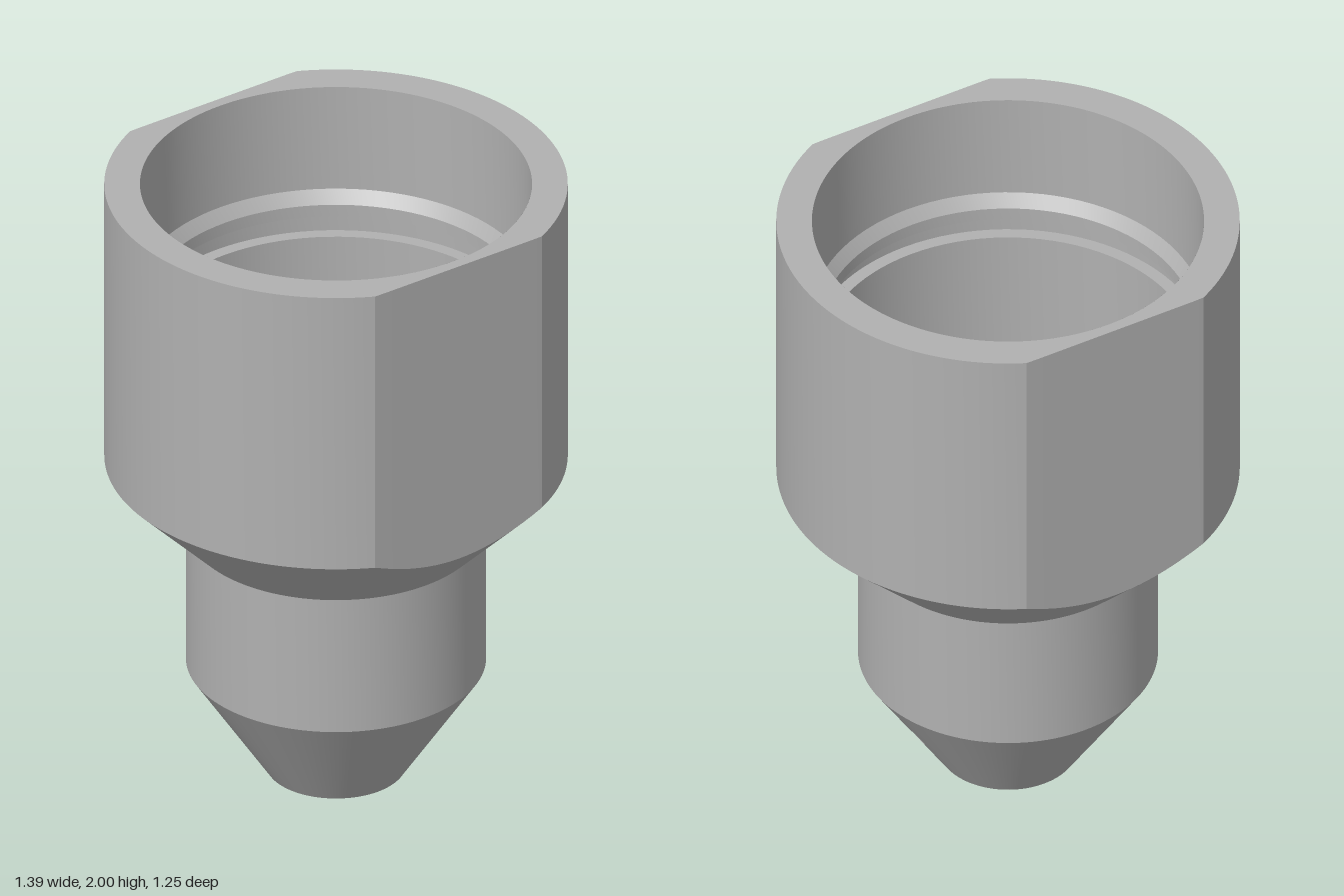
import * as THREE from 'three';
import { toCreasedNormals } from 'three/addons/utils/BufferGeometryUtils.js';

const FLAT = 0.623;                       // distance of the wrench flats from the axis
const HOLE = { y: 0.18, r: 0.042 };       // cross hole in the nose
const PORT_X = 0.185, PORT_R = 0.045, BORE_R = 0.085;
const noseRadius = y => 0.21 + 0.24 * y / 0.365;

export function createModel() {
  const group = new THREE.Group();
  const steel = new THREE.MeshStandardMaterial({ color: 0xb0b0b0, side: THREE.DoubleSide });
  steel.name = 'steel grey';

  const add = (name, geometry) => {
    const mesh = new THREE.Mesh(toCreasedNormals(geometry, 0.35), steel);
    mesh.name = name;
    group.add(mesh);
  };
  const lathe = (pts, segments, start = 0, length = Math.PI * 2) =>
    new THREE.LatheGeometry(pts.map(p => new THREE.Vector2(...p)), segments, start, length);

  // Outer body, pulled in to two flats that run into the shoulder cone
  const body = lathe([[0.45, 0.365], [0.45, 0.82], [0.695, 1.065], [0.695, 2], [0.588, 2]], 136);
  const pos = body.attributes.position;
  for (let i = 0; i < pos.count; i++) {
    const x = pos.getX(i), y = pos.getY(i), z = pos.getZ(i);
    if (Math.abs(z) <= FLAT) continue;
    const k = FLAT / Math.abs(z);
    const r = Math.hypot(x, z) * k;
    pos.setXYZ(i, x * k, y < 1.9 ? 0.82 + r - 0.45 : y, z * k);
  }
  add('body', body);

  // Socket with lead-in chamfer, ring groove, conical seat and recessed floor
  add('socket', lathe([
    [0.588, 2], [0.588, 1.65], [0.56, 1.61], [0.56, 1.57], [0.6, 1.57], [0.6, 1.5],
    [0.56, 1.5], [0.56, 1.03], [0.38, 0.85], [0.275, 0.85], [0.275, 0.8],
  ], 96));

  // Conical nose: a partial cone plus a patch around the cross hole
  const half = 0.26;
  add('nose', lathe([[0.21, 0], [0.45, 0.365]], 88, Math.PI / 2 + half, 2 * (Math.PI - half)));
  add('noseHolePatch', holePatch(half));
  add('noseEnd', lathe([[0.138, 0], [0.21, 0]], 96));

  // Cross hole, its outer end trimmed to the cone
  const cross = new THREE.CylinderGeometry(HOLE.r, HOLE.r, 1, 32, 1, true);
  cross.rotateZ(-Math.PI / 2);
  const cp = cross.attributes.position;
  for (let i = 0; i < cp.count; i++) {
    const y = cp.getY(i) + HOLE.y, z = cp.getZ(i);
    const outer = Math.sqrt(noseRadius(y) ** 2 - z * z);
    cp.setXYZ(i, cp.getX(i) > 0 ? outer : 0.128, y, z);
  }
  add('crossHole', cross);

  // Thread in the bottom of the nose
  const thread = [[0.138, 0]];
  for (let y = 0.02; y < 0.41; y += 0.04) thread.push([0.115, y], [0.138, y + 0.02]);
  add('thread', lathe(thread, 48));

  // Floor layers: slot, then two ports and bore, then the port that goes on down
  const circle = (x, r) => new THREE.Path().absarc(x, 0, r, 0, Math.PI * 2);
  const a = Math.asin(PORT_R / BORE_R), P = Math.PI;
  const slot = new THREE.Path()
    .absarc(PORT_X, 0, PORT_R, -P / 2, P / 2)
    .absarc(0, 0, BORE_R, a, P - a)
    .absarc(-PORT_X, 0, PORT_R, P / 2, 1.5 * P)
    .absarc(0, 0, BORE_R, P + a, 2 * P - a);
  slot.closePath();
  const bore = circle(0, BORE_R), port = circle(PORT_X, PORT_R), blind = circle(-PORT_X, PORT_R);
  const layers = [
    ['slottedFloor', 0.74, 0.8, [slot]],
    ['portedFloor', 0.62, 0.74, [bore, port, blind]],
    ['lowerFloor', 0.42, 0.62, [bore, port]],
  ];
  for (const [name, y0, y1, holes] of layers) {
    const shape = new THREE.Shape().absarc(0, 0, 0.275, 0, Math.PI * 2);
    shape.holes.push(...holes);
    const g = new THREE.ExtrudeGeometry(shape, { depth: y1 - y0, bevelEnabled: false, curveSegments: 32 });
    g.rotateX(-Math.PI / 2);
    g.translate(0, y0, 0);
    add(name, g);
  }

  // Port running down to the cross hole
  const down = new THREE.CylinderGeometry(PORT_R, PORT_R, 0.22, 32, 1, true);
  down.translate(PORT_X, 0.31, 0);
  add('port', down);
  return group;
}

// Piece of the cone on the +x side, from the round hole out to its straight borders
function holePatch(half) {
  const sides = 12, rings = 5, n = sides * 4, verts = [], index = [];
  for (let i = 0; i <= n; i++) {
    const side = Math.floor(i / sides) % 4, t = (i % sides) / sides * 2 - 1;
    const [u, v] = [[1, t], [-t, 1], [-1, -t], [t, -1]][side];
    const len = Math.hypot(u, v);
    const hy = HOLE.y + HOLE.r * v / len;
    const hAngle = Math.asin(HOLE.r * u / len / noseRadius(hy));
    const oy = 0.1825 + 0.1825 * v;
    for (let k = 0; k <= rings; k++) {
      const f = k / rings;
      const y = hy + (oy - hy) * f, angle = hAngle + (u * half - hAngle) * f;
      const r = noseRadius(y);
      verts.push(r * Math.cos(angle), y, r * Math.sin(angle));
      if (i < n && k < rings) {
        const p = i * (rings + 1) + k, q = p + rings + 1;
        index.push(p, q, p + 1, q, q + 1, p + 1);
      }
    }
  }
  const g = new THREE.BufferGeometry();
  g.setAttribute('position', new THREE.Float32BufferAttribute(verts, 3));
  g.setIndex(index);
  g.computeVertexNormals();
  return g;
}
